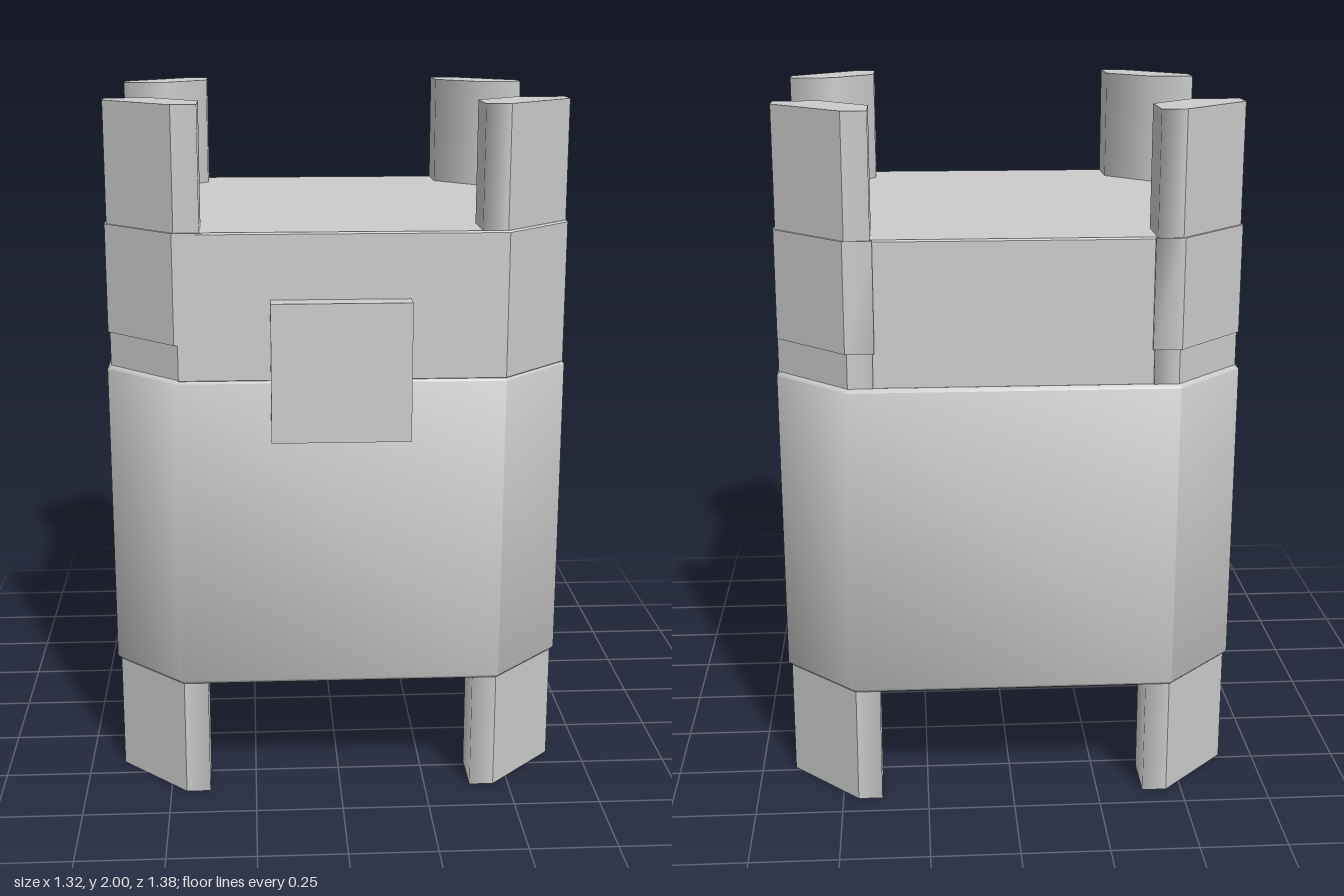
import * as THREE from 'three';
import { mergeGeometries, toCreasedNormals } from 'three/addons/utils/BufferGeometryUtils.js';

const CENTRE_Z = -0.0275;

// Chamfered box: an octagonal plan extruded upward with a fine bevel
function chamferedBox(x0, x1, z0, z1, cut, y0, y1, bevel, crease) {
  const plan = [
    [x0 + cut, z0], [x1 - cut, z0], [x1, z0 + cut], [x1, z1 - cut],
    [x1 - cut, z1], [x0 + cut, z1], [x0, z1 - cut], [x0, z0 + cut],
  ];
  const shape = new THREE.Shape(plan.map(([x, z]) => new THREE.Vector2(x, -z)));
  const geo = new THREE.ExtrudeGeometry(shape, {
    depth: y1 - y0 - 2 * bevel, bevelEnabled: true, bevelSize: bevel,
    bevelThickness: bevel, bevelOffset: -bevel, bevelSegments: 1,
  });
  geo.rotateX(-Math.PI / 2).translate(0, y0 + bevel, 0);
  return toCreasedNormals(geo, crease);
}

// Upright wall along a plan line, shaded smoothly along its length
function wall(points, y0, y1) {
  const pos = [], index = [];
  points.forEach(([x, z], i) => {
    pos.push(x, y0, z, x, y1, z);
    if (i > 0) {
      const a = 2 * (i - 1), b = 2 * i;
      index.push(a, b, b + 1, a, b + 1, a + 1);
    }
  });
  const geo = new THREE.BufferGeometry();
  geo.setAttribute('position', new THREE.Float32BufferAttribute(pos, 3));
  geo.setIndex(index);
  geo.computeVertexNormals();
  return geo.toNonIndexed();
}

// Horizontal end face of a post
function cap(points, y, up) {
  const s = up ? -1 : 1;
  const shape = new THREE.Shape(points.map(([x, z]) => new THREE.Vector2(x, s * z)));
  const geo = new THREE.ShapeGeometry(shape).toNonIndexed();
  geo.deleteAttribute('uv');
  return geo.rotateX(s * Math.PI / 2).translate(0, y, 0);
}

// Six-sided corner post with a flat outer chamfer and softened inner sides
function cornerPost(sx, sz, y0, y1, out = 0) {
  const hx = 0.65 + out, hz = 0.6525 + out;
  let plan = [
    [hx, hz - 0.195], [hx, 0.375 - out], [0.515, 0.375 - out],
    [0.385 - out, 0.505], [0.385 - out, hz], [hx - 0.195, hz],
  ].map(([x, z]) => [sx * x, sz * z + CENTRE_Z]);
  if (sx * sz < 0) plan = plan.reverse();
  return mergeGeometries([
    wall(plan, y0, y1),
    wall([plan[5], plan[0]], y0, y1),
    cap(plan, y1, true),
    cap(plan, y0, false),
  ]);
}

export function createModel() {
  const group = new THREE.Group();
  const grey = new THREE.MeshStandardMaterial({ color: 0xcccccc });
  grey.name = 'light grey';
  const add = (name, geo) => {
    const mesh = new THREE.Mesh(geo, grey);
    mesh.name = name;
    group.add(mesh);
    return mesh;
  };

  // Main container and the lid, which sits slightly toward front left
  add('body', chamferedBox(-0.66, 0.66, -0.69, 0.635, 0.2, 0.345, 1.252, 0.01, 0.9));
  add('lid', chamferedBox(-0.645, 0.655, -0.675, 0.63, 0.195, 1.245, 1.66, 0.005, 0.6));

  // Corner posts, with raised sleeves where the lid leaves them exposed
  for (const sx of [-1, 1]) {
    for (const sz of [-1, 1]) {
      const place = (sz > 0 ? 'front' : 'back') + (sx > 0 ? 'Left' : 'Right');
      add(place + 'Post', cornerPost(sx, sz, 0, 2));
      if (sx < 0 || sz < 0) add(place + 'Sleeve', cornerPost(sx, sz, 1.35, 1.659, 0.005));
    }
  }

  // Latch plate bridging lid and body
  add('latch', new THREE.BoxGeometry(0.387, 0.39, 0.08)).position.set(-0.002, 1.28, 0.65);

  return group;
}
